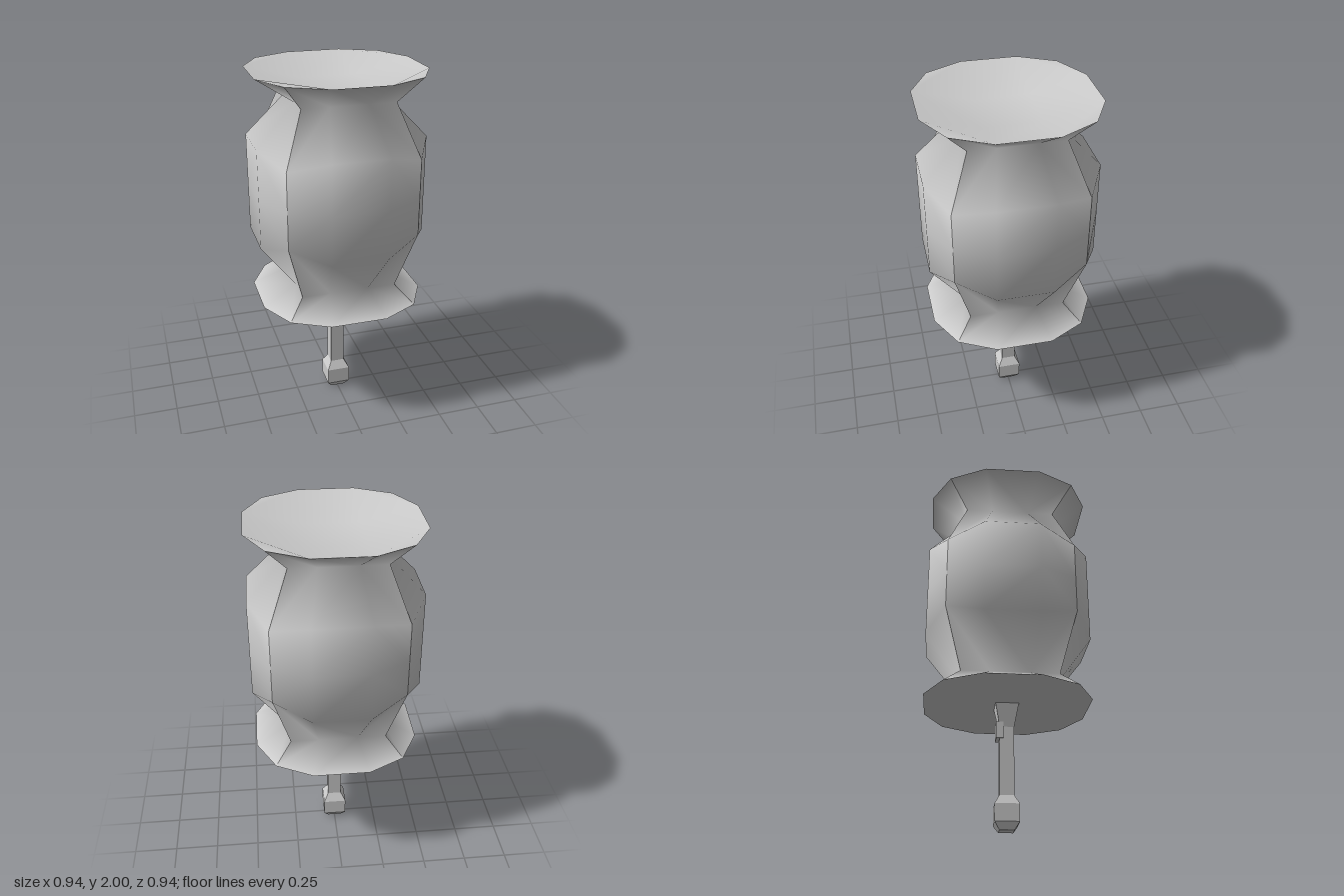
import * as THREE from 'three';

const GREY = 0xcccccc;

// Body rings, bottom to top: [corner y, middle y, corner half width, middle half width, middle depth]
const RINGS = [
  [0.703, 0.703, 0.36, 0.157, 0.466],
  [0.80, 0.80, 0.27, 0.11, 0.27],
  [1.14, 1.07, 0.362, 0.157, 0.47],
  [1.35, 1.35, 0.362, 0.157, 0.47],
  [1.57, 1.63, 0.362, 0.157, 0.47],
  [1.857, 1.857, 0.255, 0.105, 0.255],
  [2.0, 2.0, 0.36, 0.157, 0.467],
];
const NECK_ROWS = [1, 5];

function buildGeometry(positions, indices) {
  const geometry = new THREE.BufferGeometry();
  geometry.setAttribute('position', new THREE.Float32BufferAttribute(positions, 3));
  geometry.setIndex(indices);
  geometry.computeVertexNormals();
  return geometry;
}

// One of the four sides: smooth within itself, sharp where it meets its neighbours
function sideGeometry() {
  const positions = [], indices = [];
  RINGS.forEach(([cornerY, midY, corner, midX, midZ], row) => {
    positions.push(-corner, cornerY, corner, -midX, midY, midZ, midX, midY, midZ, corner, cornerY, corner);
    if (row === 0) return;
    const aboveNeck = NECK_ROWS.includes(row - 1);
    for (let col = 0; col < 3; col++) {
      const a = (row - 1) * 4 + col, b = a + 1, c = b + 4, d = a + 4;
      // the folds run from the middle of each neck out to the wide corners
      if ((col === 2) !== aboveNeck) indices.push(a, b, d, b, c, d);
      else indices.push(a, b, c, a, c, d);
    }
  });
  return buildGeometry(positions, indices);
}

// Twelve-sided end plate around a square centre, which lies `sink` below the rim
function plateGeometry([y, , corner, midX, midZ], sink, facingUp) {
  const positions = [], indices = [];
  const quarter = [[-corner, y, corner], [-midX, y, midZ], [midX, y, midZ], [-midX, y - sink, midX]];
  for (let side = 0; side < 4; side++) {
    const cos = Math.round(Math.cos(side * Math.PI / 2));
    const sin = Math.round(Math.sin(side * Math.PI / 2));
    for (const [x, h, z] of quarter) positions.push(x * cos + z * sin, h, z * cos - x * sin);
    const rim = side * 4, midA = rim + 1, midB = rim + 2, inner = rim + 3;
    const previousMid = (rim + 14) % 16, nextInner = (rim + 7) % 16;
    indices.push(previousMid, rim, midA, previousMid, midA, inner);
    indices.push(midA, midB, nextInner, midA, nextInner, inner);
  }
  indices.push(3, 7, 11, 3, 11, 15);
  if (!facingUp) indices.reverse();
  return buildGeometry(positions, indices);
}

// Square-section handle with a flared neck and a knob at the lower end
function handleGeometry() {
  const profile = [[0, 0], [0.04, 0], [0.067, 0.04], [0.067, 0.135], [0.04, 0.185], [0.04, 0.57], [0.066, 0.705]];
  const points = profile.map(([half, y]) => new THREE.Vector2(half * Math.SQRT2, y));
  return new THREE.LatheGeometry(points, 4, Math.PI / 4);
}

export function createModel() {
  const model = new THREE.Group();
  const smooth = new THREE.MeshStandardMaterial({ color: GREY, side: THREE.DoubleSide });
  const flat = new THREE.MeshStandardMaterial({ color: GREY, flatShading: true });

  function add(name, geometry, material, parent = model) {
    const mesh = new THREE.Mesh(geometry, material);
    mesh.name = name;
    parent.add(mesh);
    return mesh;
  }

  // Body
  const body = new THREE.Group();
  body.name = 'body';
  model.add(body);
  const side = sideGeometry();
  ['frontSide', 'leftSide', 'backSide', 'rightSide'].forEach((name, i) => {
    add(name, side, smooth, body).rotation.y = i * Math.PI / 2;
  });
  add('topDish', plateGeometry(RINGS[RINGS.length - 1], 0.08, true), smooth, body);
  add('bottomPlate', plateGeometry(RINGS[0], 0, false), smooth, body);

  // Handle and the small block on its back
  add('handle', handleGeometry(), flat);
  add('handleButton', new THREE.BoxGeometry(0.084, 0.095, 0.04), flat).position.set(-0.006, 0.55, -0.04);

  return model;
}
